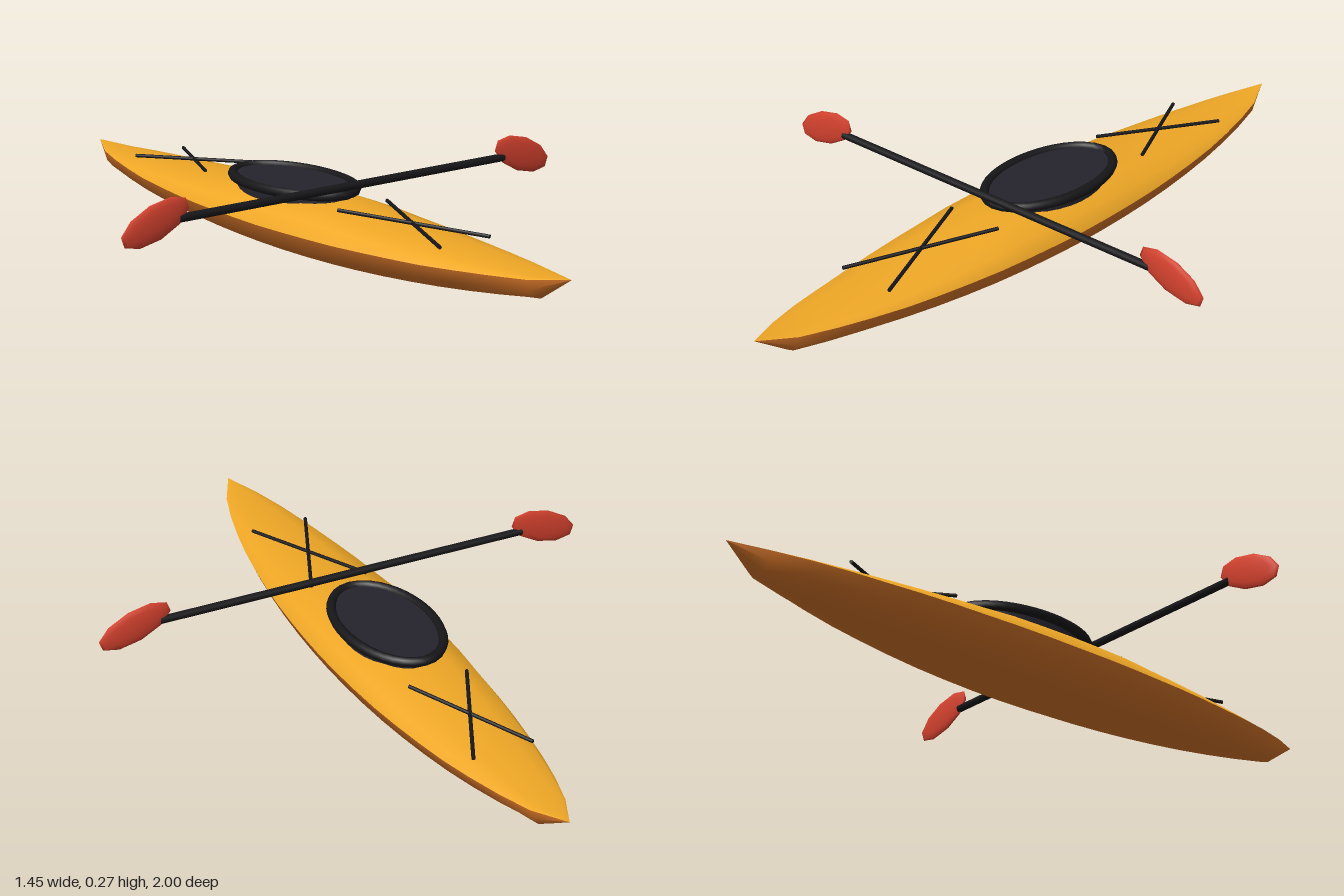
import * as THREE from 'three';

const mat = (color, side = THREE.FrontSide) => new THREE.MeshStandardMaterial({ color, side });

function add(parent, name, geometry, material) {
  const mesh = new THREE.Mesh(geometry, material);
  mesh.name = name;
  parent.add(mesh);
  return mesh;
}

// Straight round bar between two points
function bar(parent, name, a, b, radius, material) {
  const path = new THREE.LineCurve3(new THREE.Vector3(...a), new THREE.Vector3(...b));
  const mesh = add(parent, name, new THREE.CylinderGeometry(radius, radius, path.getLength(), 10), material);
  mesh.position.copy(path.getPoint(0.5));
  mesh.quaternion.setFromUnitVectors(new THREE.Vector3(0, 1, 0), path.getTangent(0));
}

// Interpolates a smooth height profile over |z|
function profile(points) {
  return (z) => {
    const a = Math.abs(z);
    let k = 0;
    while (k < points.length - 2 && a > points[k + 1][0]) k++;
    const [[z0, y0], [z1, y1]] = [points[k], points[k + 1]];
    return y0 + ((y1 - y0) * (a - z0)) / (z1 - z0);
  };
}

const TIP = 0.138;
const beam = (z) => 0.171 * Math.pow(Math.max(0, 1 - z * z), 0.75);
const sheer = profile([[0, 0.098], [0.3, 0.101], [0.6, 0.109], [0.9, 0.125], [1, TIP]]);
const crown = profile([[0, 0.17], [0.2, 0.166], [0.3, 0.157], [0.5, 0.145], [0.7, 0.136], [0.9, 0.13], [1, TIP]]);
const keel = (z) => (Math.abs(z) > 0.95 ? TIP : 0.005 + 0.08 * z * z);

// Half-elliptical cross-sections lofted from stern to bow
function shell(startAngle, edge, power) {
  const stations = 20, sides = 6, pos = [], index = [];
  for (let i = 0; i <= stations; i++) {
    const z = -1 + (2 * i) / stations;
    for (let j = 0; j <= sides; j++) {
      const t = startAngle + (Math.PI * j) / sides;
      const rise = Math.pow(Math.abs(Math.sin(t)), power);
      pos.push(beam(z) * Math.cos(t), sheer(z) + (edge(z) - sheer(z)) * rise, z);
      if (i < stations && j < sides) {
        const a = i * (sides + 1) + j, b = a + sides + 1;
        index.push(a, a + 1, b, a + 1, b + 1, b);
      }
    }
  }
  const g = new THREE.BufferGeometry();
  g.setAttribute('position', new THREE.Float32BufferAttribute(pos, 3));
  g.setIndex(index);
  g.computeVertexNormals();
  return g;
}

export function createModel() {
  const model = new THREE.Group();
  model.name = 'kayak';
  const black = mat(0x17171a);
  const red = mat(0xd8432f);

  // Hull and deck meet along the sheer line
  add(model, 'hull', shell(Math.PI, keel, 1), mat(0xdf7a2b, THREE.DoubleSide));
  add(model, 'deck', shell(0, crown, 0.85), mat(0xf0a826, THREE.DoubleSide));

  // Cockpit: raised wall with cover, and a rolled rim
  const cockpit = new THREE.Group();
  cockpit.name = 'cockpit';
  cockpit.position.z = -0.055;
  model.add(cockpit);
  const cover = add(cockpit, 'cockpitCover', new THREE.CylinderGeometry(1, 1, 0.04, 32), mat(0x25242c));
  cover.scale.set(0.116, 1, 0.205);
  cover.position.y = 0.168;
  const ring = [];
  for (let i = 0; i < 24; i++) {
    const t = (i / 24) * Math.PI * 2;
    ring.push(new THREE.Vector3(0.125 * Math.cos(t), 0, 0.218 * Math.sin(t)));
  }
  const rim = add(cockpit, 'cockpitRim',
    new THREE.TubeGeometry(new THREE.CatmullRomCurve3(ring, true), 40, 0.0135, 8, true), black);
  rim.position.y = 0.185;

  // Crossed deck cords fore and aft
  for (const [near, far] of [[0.235, 0.63], [-0.345, -0.685]]) {
    for (const s of [-1, 1]) {
      bar(model, 'deckCord', [s * 0.084, 0.171, near], [-s * 0.084, 0.154, far], 0.005, black);
    }
  }

  // Double-bladed paddle laid across the deck
  const paddle = new THREE.Group();
  paddle.name = 'paddle';
  paddle.position.set(0, 0.213, 0.184);
  model.add(paddle);
  bar(paddle, 'paddleShaft', [-0.55, 0, 0], [0.55, 0, 0], 0.011, black);
  for (const s of [-1, 1]) {
    const blade = new THREE.SphereGeometry(1, 10, 8);
    blade.rotateX(Math.PI / 2).rotateZ(Math.PI / 10);
    blade.scale(0.109, 0.048, 0.011);
    const mesh = add(paddle, 'paddleBlade', blade, red);
    mesh.position.x = s * 0.621;
    mesh.rotation.z = -s * 0.35;
  }
  return model;
}
